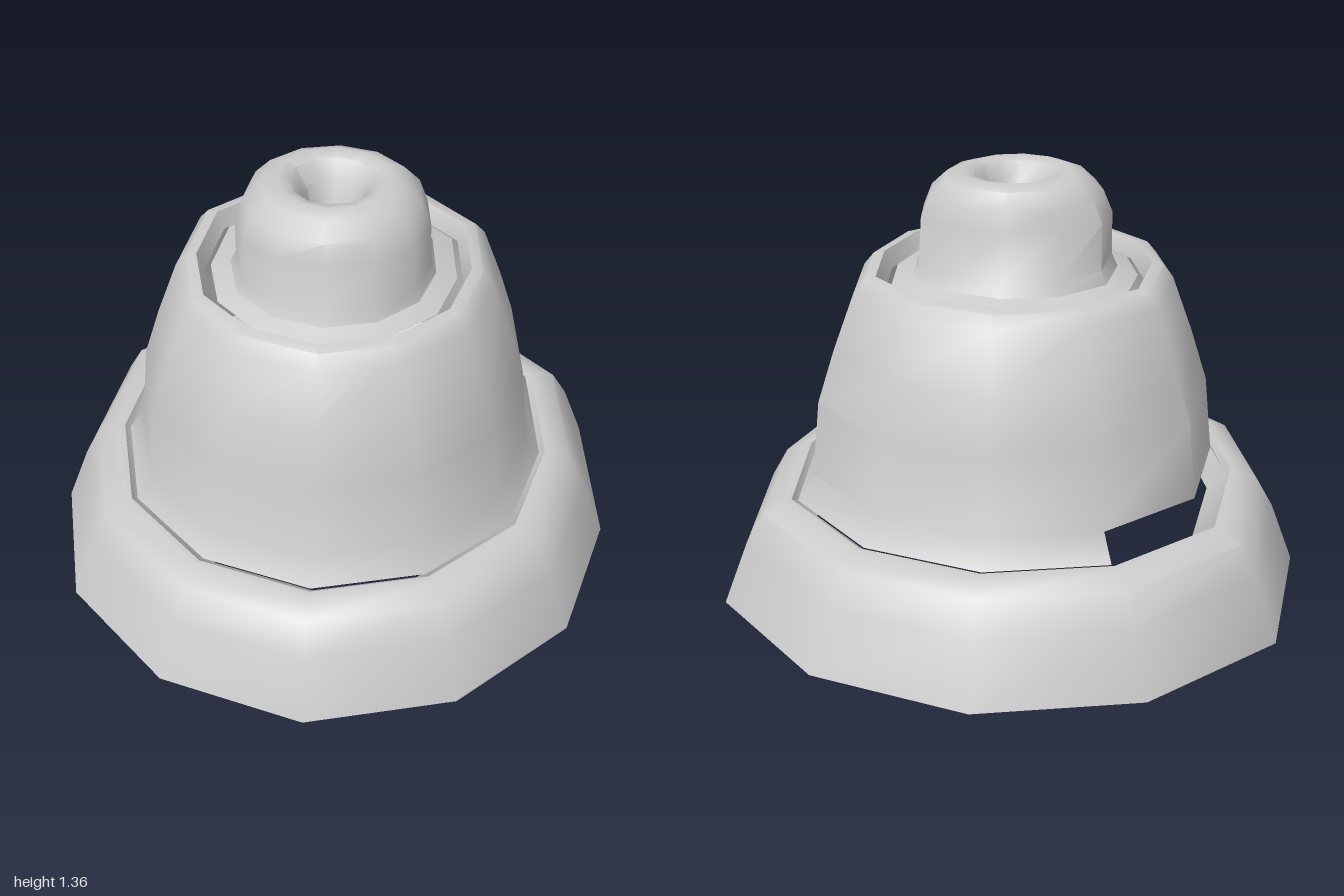
import * as THREE from 'three';
import { toCreasedNormals } from 'three/addons/utils/BufferGeometryUtils.js';

// Slightly irregular twelve-sided outline [x, z] shared by every ring
const half = [[0.51, -0.87], [0.89, -0.5], [0.95, 0.05], [0.82, 0.53], [0.47, 0.87]];
const outline = [[0, -1], ...half, [0, 1], ...half.map(([x, z]) => [-x, z]).reverse()];

// Skin rings given as [radius, y, zShift, xScale]; skip(row, side) leaves a face out
function loft(name, rings, skip = () => false) {
  const n = outline.length;
  const pos = [], index = [];
  for (const [r, y, dz = 0, sx = 1] of rings) {
    for (const [x, z] of outline) pos.push(x * r * sx, y, z * r + dz);
  }
  for (let i = 0; i < rings.length - 1; i++) {
    for (let j = 0; j < n; j++) {
      if (skip(i, j)) continue;
      const a = i * n + j, b = i * n + (j + 1) % n;
      index.push(a, a + n, b, b, a + n, b + n);
    }
  }
  const geo = new THREE.BufferGeometry();
  geo.setAttribute('position', new THREE.Float32BufferAttribute(pos, 3));
  geo.setIndex(index);
  const mesh = new THREE.Mesh(
    toCreasedNormals(geo, 0.7),
    new THREE.MeshStandardMaterial({ color: 0xcccccc, side: THREE.DoubleSide })
  );
  mesh.name = name;
  return mesh;
}

export function createModel() {
  const group = new THREE.Group();
  group.name = 'bellInsulator';

  // Wide bottom skirt with a rim that curls inwards
  group.add(loft('lowerSkirt', [
    [1, 0], [0.92, 0.2], [0.86, 0.3], [0.79, 0.333], [0.765, 0.333], [0.75, 0.31], [0.685, 0.255],
  ]));

  // Middle bell; two faces of its foot flare are broken out
  group.add(loft('middleBell', [
    [0.745, 0.325], [0.69, 0.41], [0.662, 0.66], [0.605, 0.83], [0.535, 1.01],
    [0.5, 1.05], [0.462, 1.057], [0.45, 1.035], [0.436, 1.0],
  ], (row, side) => row === 0 && (side === 9 || side === 10)));

  // Top knob: foot flange, wall squashed at the back, rounded lip and funnel
  group.add(loft('topKnob', [
    [0.415, 1.015], [0.345, 1.04, 0.012], [0.325, 1.08, 0.015], [0.275, 1.22, 0.025, 1.17],
    [0.265, 1.29, 0.02, 1.1], [0.225, 1.34, 0.01, 1.05], [0.18, 1.357, 0.01],
    [0.14, 1.345, 0.01], [0.1, 1.29, 0.01], [0.07, 1.17, 0.01],
  ]));

  return group;
}
